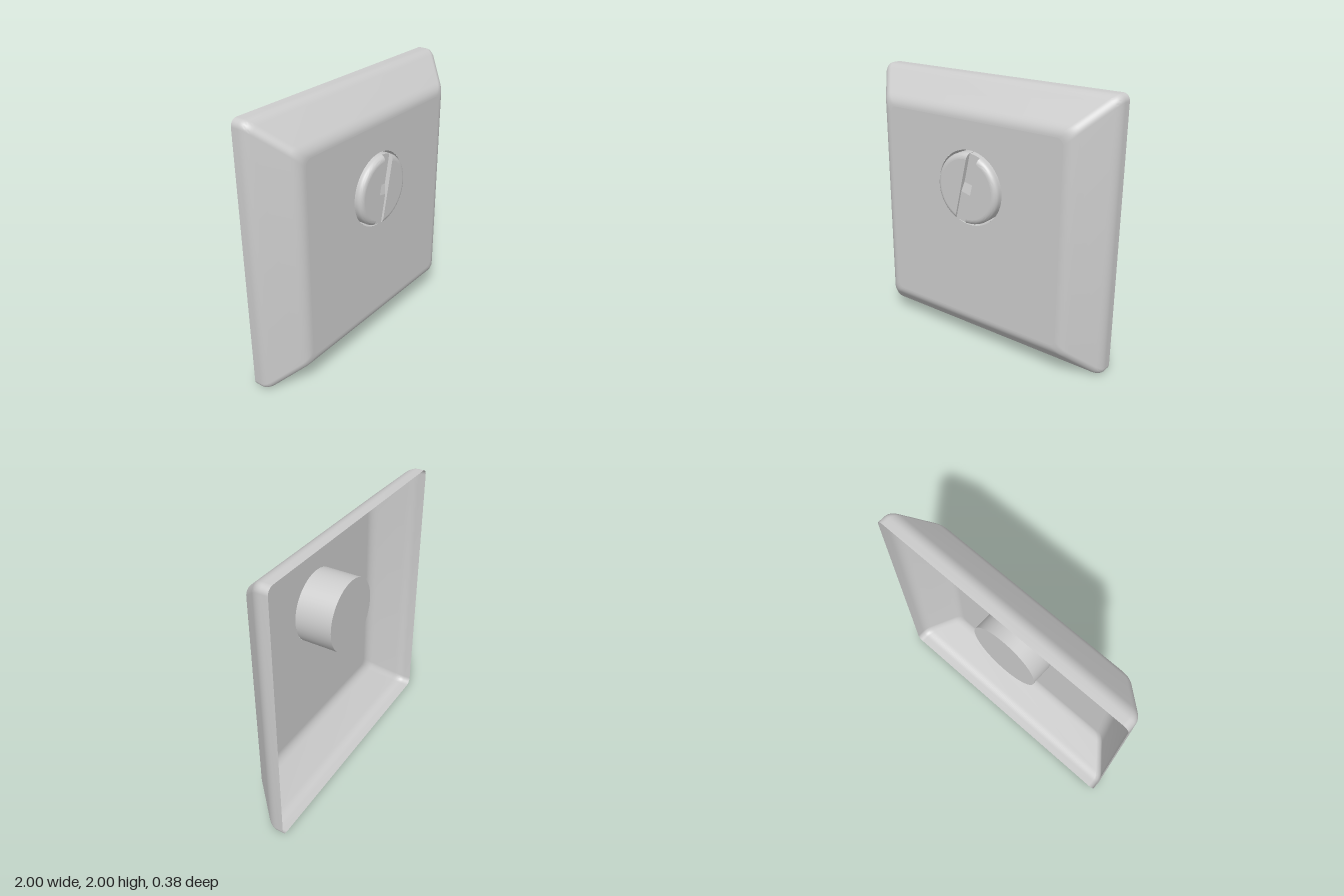
import * as THREE from 'three';
import { toCreasedNormals, mergeGeometries } from 'three/addons/utils/BufferGeometryUtils.js';

const FACE_Z = 0.143, BACK_Z = -0.188, TOP_Z = 0.188;
const HOLE_R = 0.275, HEAD_R = 0.26, LOCK_Y = 1.26;
const solid = new THREE.MeshStandardMaterial({ color: 0xcccccc });
const thin = new THREE.MeshStandardMaterial({ color: 0xcccccc, side: THREE.DoubleSide });

function mesh(name, geometry, material = solid) {
  const m = new THREE.Mesh(geometry, material);
  m.name = name;
  return m;
}

// Joins equal-length cross-sections, listed from back to front
function skin(levels, closed) {
  const n = levels[0].length, index = [];
  for (let i = 0; i < levels.length - 1; i++) {
    for (let j = 0; j < (closed ? n : n - 1); j++) {
      const a = i * n + j, b = i * n + (j + 1) % n;
      index.push(a, b, b + n, a, b + n, a + n);
    }
  }
  const g = new THREE.BufferGeometry().setFromPoints(levels.flat());
  g.setIndex(index);
  return toCreasedNormals(g, 0.7);
}

function roundedSquare(half, z, r = 0.05) {
  const points = [];
  for (let c = 0; c < 4; c++) {
    const mid = Math.PI / 4 + c * Math.PI / 2;
    const cx = Math.sign(Math.cos(mid)) * (half - r), cy = Math.sign(Math.sin(mid)) * (half - r);
    for (let i = 0; i <= 8; i++) {
      const t = c * Math.PI / 2 + i / 8 * Math.PI / 2;
      points.push(new THREE.Vector3(cx + r * Math.cos(t), cy + r * Math.sin(t), z));
    }
  }
  return points;
}

// Hollow cover: rim, sloped sides with soft edges, flat face with a round hole
function makeCover() {
  const cover = new THREE.Group();
  cover.name = 'coverPlate';
  const v = (x, y) => new THREE.Vector2(x, y);
  const profile = [
    v(1, BACK_Z),
    ...new THREE.QuadraticBezierCurve(v(1, -0.135), v(1, -0.09), v(0.965, -0.053)).getPoints(8),
    ...new THREE.QuadraticBezierCurve(v(0.825, 0.101), v(0.787, FACE_Z), v(0.74, FACE_Z)).getPoints(8),
  ];
  const levels = profile.map(p => roundedSquare(p.x, p.y));
  const sides = mesh('coverSides', skin(levels, true), thin);

  const shape = new THREE.Shape(levels[levels.length - 1].map(p => v(p.x, p.y)));
  shape.holes.push(new THREE.Path().absarc(0, LOCK_Y - 1, HOLE_R, 0, Math.PI * 2, true));
  const face = mesh('coverFace', new THREE.ShapeGeometry(shape, 48), thin);
  face.position.z = FACE_Z;
  cover.add(sides, face);
  cover.position.y = 1;
  return cover;
}

// One half of the slotted head: a disc segment with a rounded outer edge
function headHalf(slot) {
  const fillet = 0.04;
  const rings = [[HEAD_R, 0.1]];
  for (let i = 0; i <= 8; i++) {
    const t = i / 8 * Math.PI / 2;
    rings.push([HEAD_R - fillet + fillet * Math.cos(t), TOP_Z - fillet + fillet * Math.sin(t)]);
  }
  const levels = rings.map(([r, z]) => {
    const a = Math.acos(slot / r);
    return Array.from({ length: 33 }, (_, i) => {
      const t = a * (i / 16 - 1);
      return new THREE.Vector3(r * Math.cos(t), r * Math.sin(t), z);
    });
  });
  const wall = levels.map(l => [l[32], l[0]]);
  const top = new THREE.ShapeGeometry(new THREE.Shape(levels[levels.length - 1].map(p => new THREE.Vector2(p.x, p.y))));
  top.translate(0, 0, TOP_Z);
  const parts = [skin(levels, false), skin(wall, false), top.toNonIndexed()];
  parts.forEach(g => g.deleteAttribute('uv'));
  return mergeGeometries(parts);
}

function makeLock() {
  const lock = new THREE.Group();
  lock.name = 'lock';
  lock.position.y = LOCK_Y;

  // Cup behind the face that holds the turning head
  const cup = new THREE.LatheGeometry(
    [[0, -0.14], [HOLE_R, -0.14], [HOLE_R, FACE_Z]].map(p => new THREE.Vector2(...p)), 48);
  lock.add(mesh('lockCup', toCreasedNormals(cup.rotateX(Math.PI / 2), 0.7), thin));

  // Head turned slightly clockwise
  const head = new THREE.Group();
  head.name = 'turnHead';
  head.rotation.z = -0.222;
  const slot = 0.045, floorZ = 0.155;
  const core = new THREE.CylinderGeometry(0.258, 0.258, floorZ + 0.13, 48);
  core.rotateX(Math.PI / 2).translate(0, 0, (floorZ - 0.13) / 2);
  head.add(mesh('headCore', core));
  for (const turn of [0, Math.PI]) {
    const half = mesh('headHalf', headHalf(slot));
    half.rotation.z = turn;
    head.add(half);
  }

  // Raised lower half of the slot floor, joined by a short ramp
  const step = new THREE.Shape(
    [[-0.25, 0.14], [0.035, 0.14], [0.035, floorZ], [-0.035, 0.172], [-0.25, 0.172]].map(p => new THREE.Vector2(...p)));
  const floor = new THREE.ExtrudeGeometry(step, { depth: slot * 2, bevelEnabled: false });
  floor.translate(0, 0, -slot);
  floor.applyMatrix4(new THREE.Matrix4().makeBasis(
    new THREE.Vector3(0, 1, 0), new THREE.Vector3(0, 0, 1), new THREE.Vector3(1, 0, 0)));
  head.add(mesh('slotStep', floor));
  lock.add(head);
  return lock;
}

export function createModel() {
  const model = new THREE.Group();
  model.name = 'lockCover';
  model.add(makeCover(), makeLock());
  return model;
}
